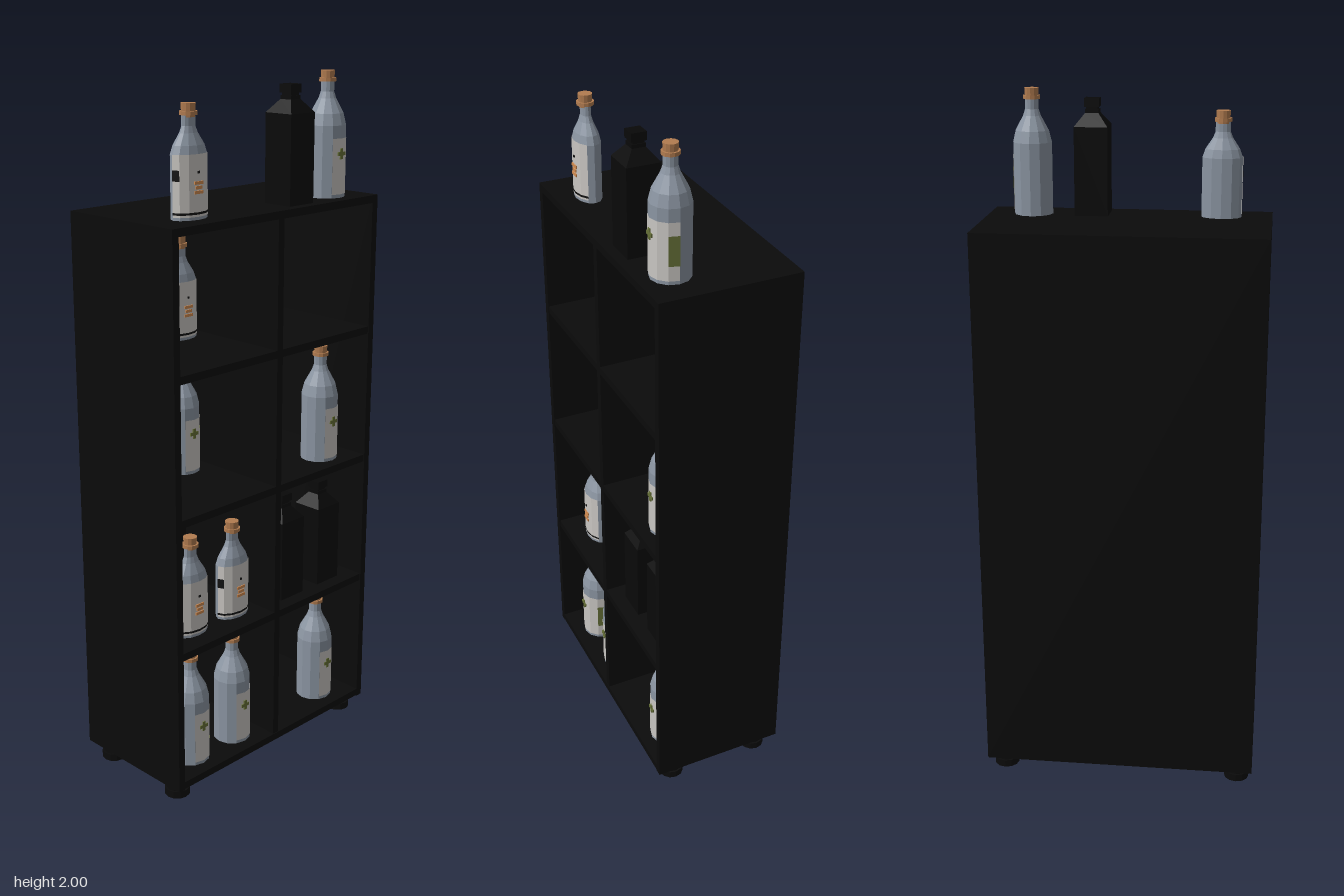
import * as THREE from 'three';

const mat = (name, color, extra = {}) => {
  const m = new THREE.MeshStandardMaterial({ color, flatShading: true, ...extra });
  m.name = name;
  return m;
};

export function createModel() {
  const wood = mat('black wood', 0x0b0b0b);
  const darkGlass = mat('dark glass', 0x090909);
  const glass = mat('grey blue glass', 0x8b95a2);
  const cork = mat('cork', 0xb27c50);
  const paper = mat('label paper', 0xc9c6c2, { side: THREE.DoubleSide });
  const green = mat('label green', 0x667038, { side: THREE.DoubleSide });
  const orange = mat('label orange', 0xd08a50);
  const black = mat('label black', 0x111111, { side: THREE.DoubleSide });

  const model = new THREE.Group();
  model.name = 'bottleCabinet';

  const add = (parent, name, geo, material, x = 0, y = 0, z = 0) => {
    const m = new THREE.Mesh(geo, material);
    m.name = name;
    m.position.set(x, y, z);
    parent.add(m);
    return m;
  };
  const box = (parent, name, material, w, h, d, x, y, z) =>
    add(parent, name, new THREE.BoxGeometry(w, h, d), material, x, y, z);
  const lathe = (pts, sides, start = 0) =>
    new THREE.LatheGeometry(pts.map(p => new THREE.Vector2(...p)), sides, start);
  // Strip wrapped around a bottle, angles in 30 degree facets (3 faces +x)
  const wrap = (parent, name, material, r, y0, y1, from, to) =>
    add(parent, name, new THREE.CylinderGeometry(r, r, y1 - y0, to - from, 1, true,
      from * Math.PI / 6, (to - from) * Math.PI / 6), material, 0, (y0 + y1) / 2, 0);

  // Cabinet, open towards +x
  const cabinet = new THREE.Group();
  cabinet.name = 'cabinet';
  model.add(cabinet);
  const T = 0.022;
  box(cabinet, 'backPanel', wood, T, 1.61, 0.8, -0.2 + T / 2, 0.85, 0);
  for (const s of [-1, 1]) {
    box(cabinet, 'sidePanel', wood, 0.4, 1.61, T, 0, 0.85, s * (0.4 - T / 2));
    for (const sx of [-1, 1]) {
      add(cabinet, 'foot', new THREE.CylinderGeometry(0.032, 0.032, 0.03, 12), wood, sx * 0.14, 0.035, s * 0.353);
      add(cabinet, 'footPad', new THREE.CylinderGeometry(0.037, 0.037, 0.022, 12), wood, sx * 0.14, 0.011, s * 0.353);
    }
  }
  box(cabinet, 'divider', wood, 0.38, 1.58, T, 0.008, 0.85, 0);
  const floors = [0.07, 0.475, 0.87, 1.27];
  [...floors, 1.655].forEach((y, i) =>
    box(cabinet, i === 4 ? 'topPanel' : 'shelf', wood, i % 4 ? 0.39 : 0.4, T, i % 4 ? 0.78 : 0.8,
      i % 4 ? 0.003 : 0, y - T / 2, 0));

  const bottle = (name, x, y, z) => {
    const g = new THREE.Group();
    g.name = name;
    g.position.set(x, y, z);
    model.add(g);
    return g;
  };
  const stopper = (g, y) => {
    add(g, 'corkRim', new THREE.CylinderGeometry(0.024, 0.024, 0.01, 12), cork, 0, y - 0.025, 0);
    add(g, 'cork', new THREE.CylinderGeometry(0.02, 0.018, 0.035, 12), cork, 0, y - 0.0175, 0);
  };

  // Tall round bottle with a green cross on its label
  const tallBottle = (x, y, z) => {
    const g = bottle('tallBottle', x, y, z);
    add(g, 'tallGlass', lathe([[0, 0], [0.055, 0], [0.055, 0.2], [0.047, 0.232],
      [0.025, 0.272], [0.019, 0.29], [0.019, 0.325], [0, 0.325]], 12), glass);
    wrap(g, 'tallLabel', paper, 0.0563, 0.01, 0.165, 2, 6);
    wrap(g, 'labelSidePanel', green, 0.0573, 0.05, 0.13, 5, 6);
    box(g, 'crossUpright', green, 0.003, 0.03, 0.01, 0.0565, 0.123, 0);
    box(g, 'crossBar', green, 0.003, 0.01, 0.03, 0.0565, 0.123, 0);
    stopper(g, 0.347);
  };

  // Short flattened bottle with an orange emblem
  const shortBottle = (x, y, z) => {
    const g = bottle('shortBottle', x, y, z);
    const body = new THREE.Group();
    body.name = 'flattenedBody';
    body.scale.x = 0.64;
    g.add(body);
    add(body, 'shortGlass', lathe([[0, 0], [0.056, 0], [0.056, 0.165], [0.048, 0.188],
      [0.028, 0.218], [0.021, 0.235], [0.021, 0.268], [0, 0.268]], 12), glass);
    wrap(body, 'shortLabel', paper, 0.0573, 0.008, 0.167, 0, 5);
    wrap(body, 'labelLine', black, 0.0583, 0.014, 0.02, 0, 5);
    wrap(body, 'labelPatch', black, 0.0583, 0.1, 0.128, 0, 1);
    for (const dy of [-0.012, 0, 0.012])
      box(g, 'emblemBar', orange, 0.003, 0.008, dy ? 0.03 : 0.022, 0.0375, 0.083 + dy, 0);
    box(g, 'emblemDot', black, 0.003, 0.006, 0.006, 0.0375, 0.122, 0);
    stopper(g, 0.292);
  };

  // Square dark bottle
  const squareBottle = (x, y, z) => {
    const g = bottle('squareBottle', x, y, z);
    const q = Math.SQRT2;
    add(g, 'squareGlass', lathe([[0, 0], [0.047 * q, 0], [0.047 * q, 0.245], [0.019 * q, 0.28],
      [0.019 * q, 0.29], [0.016 * q, 0.29], [0.016 * q, 0.297], [0.021 * q, 0.297],
      [0.021 * q, 0.32], [0, 0.32]], 4, Math.PI / 4), darkGlass);
  };

  // Shelf contents: front and deep positions
  const F = 0.11, D = -0.1;
  const [r1, r2, r3, r4] = floors;
  [[F, r1, 0.27], [F, r1, 0.1], [D, r1, -0.1], [F, r1, -0.27],
    [D, r3, 0.27], [D, r3, 0.1], [D, r3, -0.1], [F, r3, -0.27],
    [D, r4, -0.1], [F, 1.655, -0.275]].forEach(p => tallBottle(...p));
  [[F, r2, 0.265], [F, r2, 0.1], [D, r4, 0.1], [F, 1.655, 0.257]].forEach(p => shortBottle(...p));
  [[F, r2, -0.11], [F, r2, -0.27], [0.125, 1.655, -0.107]].forEach(p => squareBottle(...p));

  return model;
}
